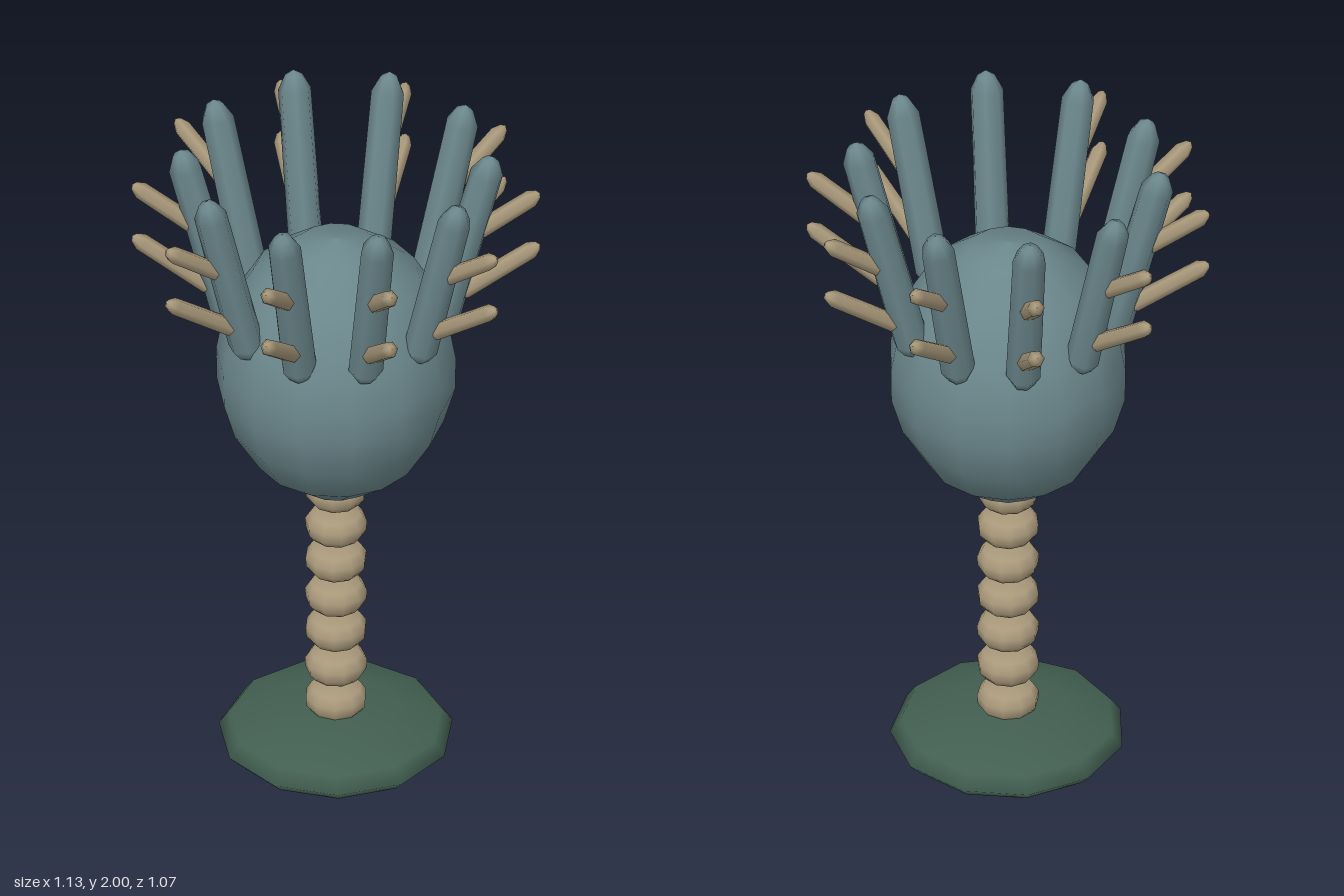
import * as THREE from 'three';

const blue = new THREE.MeshStandardMaterial({ color: 0x6b878c });
const tan = new THREE.MeshStandardMaterial({ color: 0xa8987a });
const green = new THREE.MeshStandardMaterial({ color: 0x425f51 });

// Smooth solid turned around y from [radius, height] points, listed bottom to top
function turned(points, sides) {
  return new THREE.LatheGeometry(points.map(([r, y]) => new THREE.Vector2(r, y)), sides);
}

// Blunt rod along +y, starting at the origin
function rod(length, radius, sides) {
  return turned([
    [0, 0], [radius * 0.65, radius * 0.35], [radius, radius * 1.1],
    [radius * 0.95, length - radius * 1.2], [radius * 0.5, length - radius * 0.3], [0, length],
  ], sides);
}

// Rod in the radial plane, from (r0, y0) to (r1, y1)
function radialRod(name, [r0, y0], [r1, y1], radius, sides, material) {
  const dx = r1 - r0, dy = y1 - y0;
  const mesh = new THREE.Mesh(rod(Math.hypot(dx, dy), radius, sides), material);
  mesh.position.set(r0, y0, 0);
  mesh.rotation.z = -Math.atan2(dx, dy);
  mesh.name = name;
  return mesh;
}

export function createModel() {
  const model = new THREE.Group();
  model.name = 'seaLily';

  // Flattened holdfast disc
  const base = new THREE.Mesh(turned([
    [0, 0], [0.06, 0.005], [0.18, 0.025], [0.295, 0.06], [0.325, 0.09],
    [0.295, 0.13], [0.17, 0.165], [0.06, 0.175], [0, 0.176],
  ], 11), green);
  base.name = 'base';
  model.add(base);

  // Stem of separate rounded beads
  const stem = new THREE.Group();
  stem.name = 'stem';
  const bead = turned([
    [0, -0.045], [0.035, -0.044], [0.068, -0.037], [0.084, -0.016],
    [0.086, 0.012], [0.07, 0.037], [0.035, 0.044], [0, 0.045],
  ], 10);
  for (let i = 0; i < 7; i++) {
    const mesh = new THREE.Mesh(bead, tan);
    mesh.position.y = 0.2 + i * 0.115;
    mesh.rotation.y = i * 0.3;
    mesh.name = 'stemBead';
    stem.add(mesh);
  }
  model.add(stem);

  // Egg-shaped body
  const body = new THREE.Mesh(turned([
    [0, 0.9], [0.1, 0.915], [0.225, 1.01], [0.298, 1.13], [0.33, 1.24], [0.331, 1.34],
    [0.308, 1.465], [0.23, 1.6], [0.11, 1.695], [0, 1.72],
  ], 14), blue);
  body.name = 'body';
  model.add(body);

  // Crown: ten arms, each carrying two outward pinnules
  const crown = new THREE.Group();
  crown.name = 'crown';
  for (let i = 0; i < 10; i++) {
    const arm = new THREE.Group();
    arm.name = 'arm';
    arm.add(
      radialRod('armStalk', [0.285, 1.43], [0.43, 2.0], 0.049, 7, blue),
      radialRod('lowerPinnule', [0.33, 1.54], [0.562, 1.712], 0.026, 6, tan),
      radialRod('upperPinnule', [0.375, 1.74], [0.562, 1.882], 0.026, 6, tan),
    );
    arm.rotation.y = i * Math.PI / 5;
    crown.add(arm);
  }
  model.add(crown);

  return model;
}
